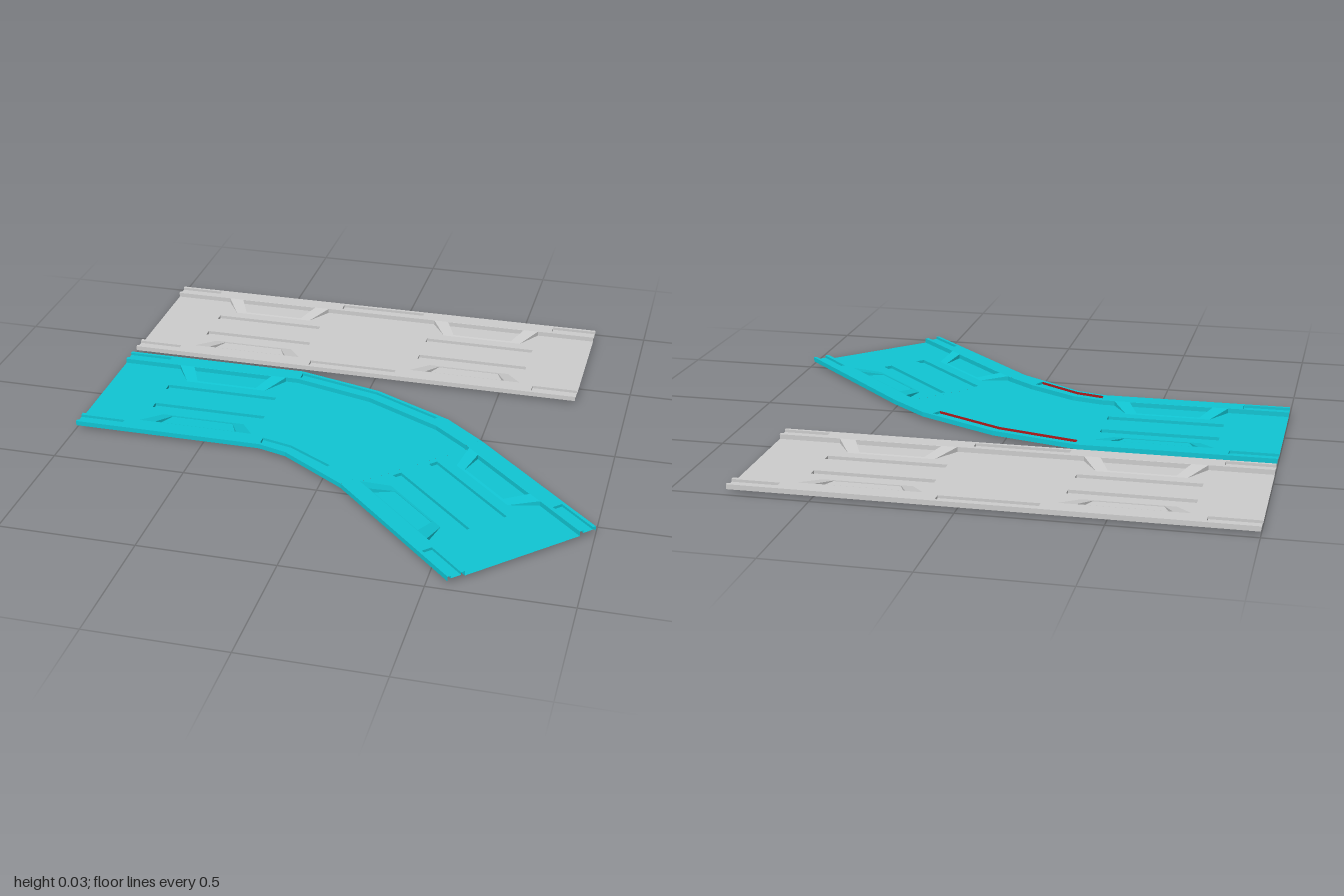
import * as THREE from 'three';

const FLOOR = 0.012, RIM = 0.03, SLOT = 0.02;
const HALF = 0.3025, EDGE = 0.235, TIP = 0.14; // half width, rim line, ramp tip

const material = (color) => new THREE.MeshStandardMaterial({ color, side: THREE.DoubleSide, flatShading: true });
const heightFn = (h) => (typeof h === 'function' ? h : () => h);

function addMesh(parent, name, geometry, mat) {
  const mesh = new THREE.Mesh(geometry, mat);
  mesh.name = name;
  parent.add(mesh);
}

// Horizontal or sloped sheet from [x, z] outlines
function sheet(parent, name, mat, outline, height, holes = []) {
  const h = heightFn(height);
  const toVec = ([x, z]) => new THREE.Vector2(x, -z);
  const shape = new THREE.Shape(outline.map(toVec));
  holes.forEach((hole) => shape.holes.push(new THREE.Path(hole.map(toVec))));
  const geo = new THREE.ShapeGeometry(shape);
  const p = geo.attributes.position;
  for (let i = 0; i < p.count; i++) {
    const x = p.getX(i), z = -p.getY(i);
    p.setXYZ(i, x, h(x, z), z);
  }
  geo.computeVertexNormals();
  addMesh(parent, name, geo, mat);
}

// Upright band along an [x, z] path
function wall(parent, name, mat, path, low, high, closed = false) {
  const lo = heightFn(low), hi = heightFn(high);
  const pts = closed ? [...path, path[0]] : path;
  const pos = [];
  for (let i = 0; i + 1 < pts.length; i++) {
    const [a, b] = [pts[i], pts[i + 1]];
    const q = [[a, lo], [b, lo], [b, hi], [a, hi]].map(([[x, z], f]) => [x, f(x, z), z]);
    [0, 1, 2, 0, 2, 3].forEach((k) => pos.push(...q[k]));
  }
  const geo = new THREE.BufferGeometry();
  geo.setAttribute('position', new THREE.Float32BufferAttribute(pos, 3));
  geo.computeVertexNormals();
  addMesh(parent, name, geo, mat);
}

// Sunken pocket: bottom plus side walls
function pocket(parent, name, mat, outline, bottom, top) {
  sheet(parent, name + 'Bottom', mat, outline, bottom);
  wall(parent, name + 'Wall', mat, outline, bottom, top, true);
}

// Straight end of a tile; local x runs inward from the open end
function endSection(length, mat) {
  const g = new THREE.Group();
  g.name = 'endSection';
  const ramp = (x, z) => FLOOR + (RIM - FLOOR) * (Math.abs(z) - TIP) / (EDGE - TIP);
  const inner = (s) => [[0, s * EDGE], [0.23, s * EDGE], [0.29, s * TIP], [0.61, s * TIP], [0.67, s * EDGE], [length, s * EDGE]];
  const bars = [];
  for (const s of [-1, 1]) {
    // Long groove in the floor
    const bar = [[0.23, s * 0.06], [0.67, s * 0.06], [0.67, s * 0.095], [0.23, s * 0.095]];
    bars.push(bar);
    pocket(g, 'groove', mat, bar, 0, FLOOR);

    // Ramp frame with a trapezoid pocket
    const outer = inner(s).slice(1, 5);
    const trap = [[0.29, s * 0.233], [0.33, s * 0.15], [0.57, s * 0.15], [0.61, s * 0.233]];
    sheet(g, 'rampFrame', mat, outer, ramp, [trap]);
    wall(g, 'rampSide', mat, outer, FLOOR, ramp);
    pocket(g, 'rampPocket', mat, trap, FLOOR, ramp);

    // Raised rim with a slot open at the tile end
    const a = s * 0.25, b = s * 0.29, e = 0.175;
    sheet(g, 'rim', mat, [[0, s * EDGE], [0, a], [e, a], [e, b], [0, b], [0, s * HALF], [length, s * HALF], [length, s * EDGE]], RIM);
    sheet(g, 'endSlotBottom', mat, [[0, a], [e, a], [e, b], [0, b]], SLOT);
    wall(g, 'endSlotWall', mat, [[0, a], [e, a], [e, b], [0, b]], SLOT, RIM);
    wall(g, 'rimInnerWall', mat, [[0, s * EDGE], [0.23, s * EDGE]], FLOOR, RIM);
    wall(g, 'rimInnerWall', mat, [[0.67, s * EDGE], [length, s * EDGE]], FLOOR, RIM);
    wall(g, 'outerSkirt', mat, [[0, s * HALF], [length, s * HALF]], FLOOR, RIM);
  }
  sheet(g, 'floor', mat, [...inner(-1), ...inner(1).reverse()], FLOOR, bars);
  return g;
}

const mix = (a, b, t) => [a[0] + (b[0] - a[0]) * t, a[1] + (b[1] - a[1]) * t];

// Middle of a tile between two rails; each rail has an outside and an inside path
function middleSection(rails, mat, accent) {
  const g = new THREE.Group();
  g.name = 'middleSection';
  for (const { outside, inside, endInset, accentSide } of rails) {
    const count = Math.min(3, outside.length);
    const line = (t) => {
      const p = outside.slice(0, count).map((o, i) => mix(o, inside[i], t));
      const first = mix(p[0], p[1], 0.015);
      const last = mix(p[count - 1], p[count - 2], endInset);
      return [first, ...p.slice(1, -1), last];
    };
    const near = line(0.2), far = line(0.75);
    const slot = [...near, ...far.slice().reverse()];
    sheet(g, 'rim', mat, [...outside, ...inside.slice().reverse()], RIM, [slot]);
    sheet(g, 'slotBottom', mat, slot, SLOT);
    wall(g, 'slotNearWall', accentSide === 'near' ? accent : mat, near, SLOT, RIM);
    wall(g, 'slotFarWall', accentSide === 'far' ? accent : mat, far, SLOT, RIM);
    wall(g, 'slotEndWall', mat, [near[0], far[0]], SLOT, RIM);
    wall(g, 'slotEndWall', mat, [near[near.length - 1], far[far.length - 1]], SLOT, RIM);
    wall(g, 'rimInnerWall', mat, inside, FLOOR, RIM);
    wall(g, 'outerSkirt', mat, outside, FLOOR, RIM);
  }
  sheet(g, 'floor', mat, [...rails[0].inside, ...rails[1].inside.slice().reverse()], FLOOR);
  return g;
}

function place(parent, part, x, z, angle) {
  part.position.set(x, 0, z);
  part.rotation.y = angle;
  parent.add(part);
}

export function createModel() {
  const model = new THREE.Group();
  model.name = 'trackTiles';
  const grey = material(0xcccccc), cyan = material(0x10c4d2), red = material(0xb01818);

  // Straight tile
  const straight = new THREE.Group();
  straight.name = 'straightTile';
  const zs = -0.675;
  place(straight, endSection(0.72, grey), -1, zs, 0);
  place(straight, endSection(0.72, grey), 0.8, zs, Math.PI);
  straight.add(middleSection([-1, 1].map((s) => ({
    outside: [[-0.28, zs + s * HALF], [0.08, zs + s * HALF]],
    inside: [[-0.28, zs + s * EDGE], [0.08, zs + s * EDGE]],
    endInset: 0.015,
  })), grey));
  model.add(straight);

  // Curved tile, bending by 45 degrees
  const curved = new THREE.Group();
  curved.name = 'curvedTile';
  place(curved, endSection(0.72, cyan), -1, -0.02, 0);
  place(curved, endSection(0.69, cyan), 0.785, 0.757, Math.PI * 0.75);
  curved.add(middleSection([
    {
      outside: [[-0.28, -0.3225], [0.05, -0.235], [0.36, -0.075], [0.511, 0.055]],
      inside: [[-0.28, -0.255], [0.03, -0.17], [0.325, -0.015], [0.463, 0.103]],
      endInset: 0.12, accentSide: 'far',
    },
    {
      outside: [[-0.28, 0.2825], [-0.17, 0.315], [-0.01, 0.421], [0.083, 0.483]],
      inside: [[-0.28, 0.215], [-0.16, 0.245], [0.025, 0.352], [0.131, 0.435]],
      endInset: 0.02, accentSide: 'near',
    },
  ], cyan, red));
  model.add(curved);
  return model;
}
